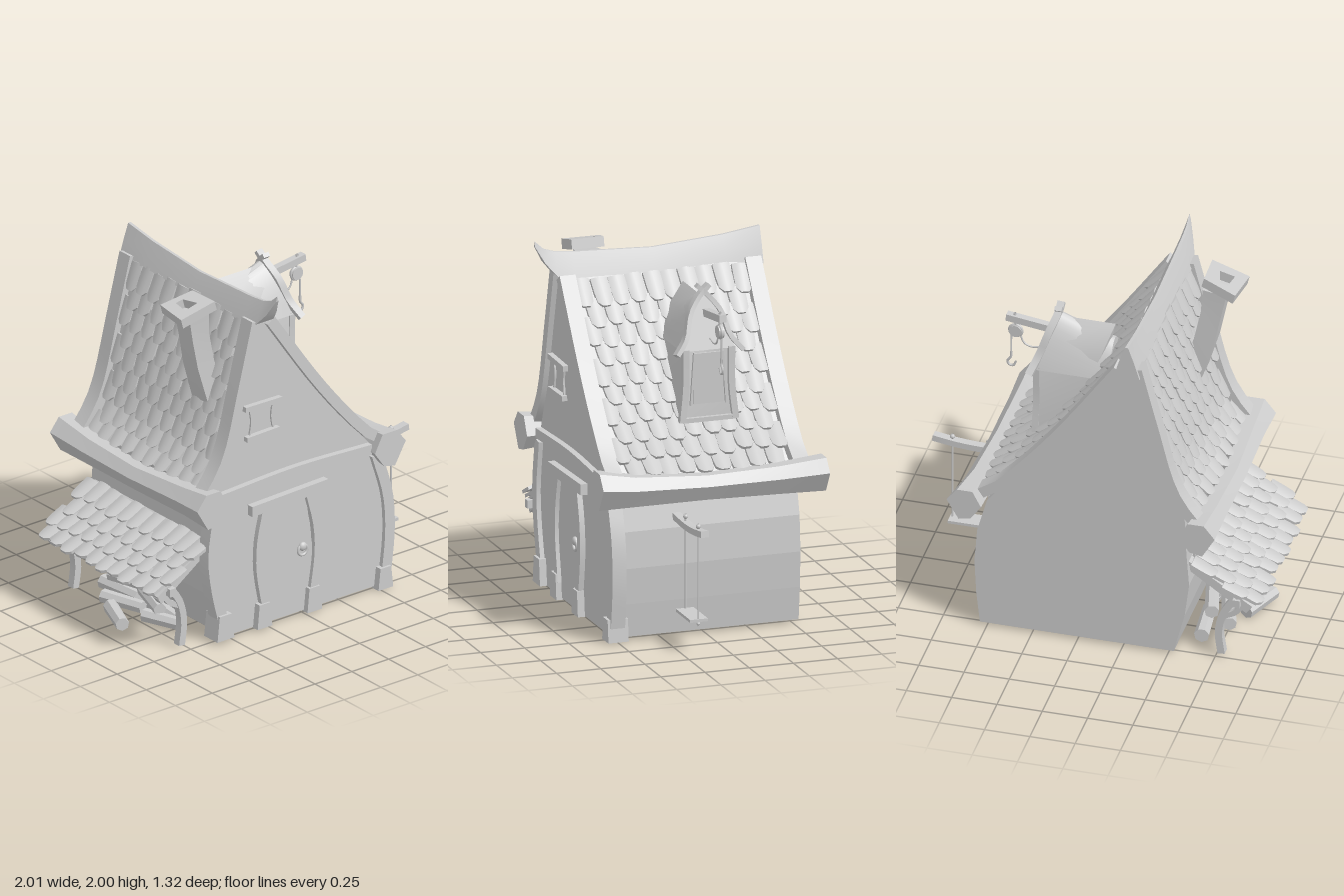
import * as THREE from 'three';
import { mergeGeometries, toCreasedNormals } from 'three/addons/utils/BufferGeometryUtils.js';

const V = (x, y, z) => new THREE.Vector3(x, y, z);
const mat = new THREE.MeshStandardMaterial({ color: 0xcccccc, side: THREE.DoubleSide });

export function createModel() {
  const root = new THREE.Group();
  let seed = 7;
  const rnd = (a) => ((seed = (seed * 16807) % 2147483647) / 2147483647 - 0.5) * 2 * a;

  const add = (name, geo, x = 0, y = 0, z = 0) => {
    const m = new THREE.Mesh(geo, mat);
    m.name = name;
    m.position.set(x, y, z);
    root.add(m);
    return m;
  };
  const box = (name, w, h, d, x, y, z) => add(name, new THREE.BoxGeometry(w, h, d), x, y, z);

  // Closed solid from rings of points, turned outward by its signed volume
  const loft = (rings) => {
    const tris = [], n = rings[0].length, last = rings[rings.length - 1];
    for (let i = 0; i < rings.length - 1; i++) for (let j = 0; j < n; j++) {
      const k = (j + 1) % n, a = rings[i], b = rings[i + 1];
      tris.push([a[j], a[k], b[k]], [a[j], b[k], b[j]]);
    }
    for (const [ring, flip] of [[rings[0], true], [last, false]]) {
      const c = ring.reduce((s, p) => s.add(p), V(0, 0, 0)).divideScalar(n);
      for (let j = 0; j < n; j++) {
        const p = ring[j], q = ring[(j + 1) % n];
        tris.push(flip ? [c, q, p] : [c, p, q]);
      }
    }
    const o = rings[0][0];
    const vol = tris.reduce((s, [a, b, c]) =>
      s + a.clone().sub(o).dot(b.clone().sub(o).cross(c.clone().sub(o))), 0);
    if (vol < 0) tris.forEach((t) => t.reverse());
    const g = new THREE.BufferGeometry().setFromPoints(tris.flat());
    g.computeVertexNormals();
    return toCreasedNormals(g, 0.5);
  };

  // Timber swept along a smooth path: w across, d along the "up" direction
  const beam = (name, pts, w, d, up = [0, 0, 1], taper = 1) => {
    const curve = new THREE.CatmullRomCurve3(pts.map((p) => V(...p)));
    const n = pts.length > 2 ? 10 : 1, rings = [];
    for (let i = 0; i <= n; i++) {
      const p = curve.getPointAt(i / n), t = curve.getTangentAt(i / n);
      const s = t.clone().cross(V(...up)).normalize(), u = s.clone().cross(t);
      const k = (1 + (taper - 1) * i / n) / 2;
      rings.push([[-1, -1], [1, -1], [1, 1], [-1, 1]].map(([a, b]) =>
        p.clone().addScaledVector(s, a * w * k).addScaledVector(u, b * d * k)));
    }
    return add(name, loft(rings));
  };
  const rope = (name, pts, r = 0.005) => add(name,
    new THREE.TubeGeometry(new THREE.CatmullRomCurve3(pts.map((p) => V(...p))), 16, r, 6));
  const plate = (name, pts, z0, z1) => add(name, new THREE.ExtrudeGeometry(
    new THREE.Shape(pts.map((p) => new THREE.Vector2(...p))), { depth: z1 - z0, bevelEnabled: false }), 0, 0, z0);

  // Rows of bent shingles following a slope from top to bottom
  const tileRoof = (name, slope, z0, z1, rows, cols) => {
    const curve = new THREE.CatmullRomCurve3(slope.map(([x, y]) => V(x, y, 0)));
    const step = curve.getLength() / rows, w = (z1 - z0) / cols, h = step * 1.5;
    const out = [];
    for (let r = 0; r < rows; r++) {
      const t = (r + 0.5) / rows, p = curve.getPointAt(t);
      const u = curve.getTangentAt(t).negate(), n = V(-u.y, u.x, 0);
      if (n.y < 0) n.negate();
      const X = u.clone().cross(n);
      const odd = r % 2;
      for (let c = 0; c < cols - odd; c++) {
        const g = new THREE.BoxGeometry(w * 0.97, h, 0.018, 4, 2, 1), a = g.attributes.position;
        for (let i = 0; i < a.count; i++) {
          const q = a.getX(i) / (w / 2), low = a.getY(i) < -h / 4;
          a.setZ(i, a.getZ(i) - 0.011 * q * q);
          if (low) a.setXYZ(i, a.getX(i) * 0.92, a.getY(i) + 0.2 * h * q ** 4, a.getZ(i));
        }
        g.rotateZ(rnd(0.06)).rotateX(-0.13 + rnd(0.03));
        const z = z0 + w * (c + 0.5 + odd / 2) + rnd(0.006);
        const pos = p.clone().addScaledVector(n, 0.02).addScaledVector(u, rnd(0.012)).setZ(z);
        g.applyMatrix4(new THREE.Matrix4().makeBasis(X, u, n).setPosition(pos));
        out.push(toCreasedNormals(g, 0.5));
      }
    }
    add(name, mergeGeometries(out));
  };

  // House body with bulging walls and an off-centre gable
  plate('houseBody', [[-0.53, 0.015], [-0.59, 0.25], [-0.615, 0.45], [-0.6, 0.65], [-0.59, 0.88], [-0.53, 1.04],
    [-0.335, 1.8], [-0.26, 1.8], [0.06, 1.33], [0.42, 0.9], [0.5, 0.8], [0.555, 0.6], [0.57, 0.4], [0.56, 0.2],
    [0.54, 0.015]].reverse(), -0.535, 0.515);

  // Roof: shingles, edge boards, ridge and eaves
  tileRoof('rightRoofTiles', [[-0.22, 1.76], [0.08, 1.33], [0.3, 1.07], [0.5, 0.88]], -0.52, 0.47, 10, 10);
  tileRoof('leftRoofTiles', [[-0.345, 1.78], [-0.44, 1.4], [-0.54, 1.04], [-0.64, 0.88]], -0.52, 0.47, 9, 10);
  for (const z of [0.5, -0.55]) {
    beam('rightEdgeBoard', [[-0.24, 1.8, z], [0.08, 1.345, z], [0.3, 1.075, z], [0.44, 0.93, z], [0.52, 0.88, z]], 0.06, 0.09);
    beam('leftEdgeBoard', [[-0.34, 1.82, z], [-0.435, 1.45, z], [-0.52, 1.13, z], [-0.58, 1.0, z], [-0.67, 0.88, z]], 0.06, 0.09);
  }
  const ridge = [[0.66, 1.97, 2.0, 0.008], [0.61, 1.88, 1.955, 0.035], [0.55, 1.81, 1.935, 0.06], [0.45, 1.795, 1.925, 0.068],
    [0, 1.785, 1.905, 0.065], [-0.4, 1.8, 1.935, 0.068], [-0.61, 1.77, 1.965, 0.072]];
  add('ridgeBeam', loft(ridge.map(([z, b, t, w]) => [[-1, b], [1, b], [0.6, (b + t) / 2], [0.12, t], [-0.12, t], [-0.6, (b + t) / 2]]
    .map(([k, y]) => V(-0.29 + k * w, y, z)))));
  const eave = (name, sections) => add(name, loft(sections.map(([x, y, z, r]) =>
    [[-1, 0.2], [-0.4, 0.95], [0.5, 0.95], [1, 0], [0.4, -0.85], [-0.3, -1]]
      .map(([a, b]) => V(x + a * r * (x < 0 ? 1 : -1), y + b * r, z)))));
  eave('leftEave', [[-0.68, 0.83, 0.6, 0.105], [-0.69, 0.825, 0.4, 0.085], [-0.71, 0.815, 0, 0.07], [-0.7, 0.82, -0.4, 0.08], [-0.69, 0.835, -0.66, 0.1]]);
  eave('rightEave', [[0.525, 0.84, 0.6, 0.105], [0.545, 0.825, 0.4, 0.085], [0.565, 0.815, 0, 0.07], [0.575, 0.82, -0.4, 0.08], [0.595, 0.835, -0.66, 0.095]]);

  // Front timbers
  beam('crossBeam', [[-0.58, 0.845, 0.52], [-0.07, 0.865, 0.52], [0.44, 0.845, 0.52]], 0.055, 0.06);
  beam('leftCornerPost', [[-0.555, 0.1, 0.5], [-0.61, 0.33, 0.5], [-0.63, 0.52, 0.5], [-0.59, 0.8, 0.5]], 0.065, 0.08);
  beam('rightCornerPost', [[0.545, 0.08, 0.5], [0.57, 0.33, 0.5], [0.555, 0.55, 0.5], [0.48, 0.8, 0.5]], 0.065, 0.08);
  beam('leftDoorPost', [[-0.27, 0.1, 0.52], [-0.315, 0.36, 0.52], [-0.31, 0.52, 0.52], [-0.27, 0.7, 0.52]], 0.05, 0.05);
  beam('rightDoorPost', [[0.045, 0.1, 0.52], [0.08, 0.36, 0.52], [0.07, 0.52, 0.52], [0.025, 0.7, 0.52]], 0.05, 0.05);
  beam('doorLintel', [[-0.375, 0.715, 0.525], [0.14, 0.73, 0.525]], 0.06, 0.06);
  for (const [x, w, y0, y1] of [[-0.555, 0.115, 0.015, 0.16], [0.53, 0.1, 0, 0.125], [-0.29, 0.1, 0.01, 0.15], [0.048, 0.1, 0.01, 0.15]])
    plate('postFoot', [[x - w / 2, y0], [x + w / 2, y0], [x + w * 0.36, y1], [x - w * 0.36, y1]], 0.44, 0.555);
  plate('door', [[-0.25, 0.02], [0.03, 0.02], [0.06, 0.35], [0.01, 0.7], [-0.26, 0.7], [-0.3, 0.35]], 0.51, 0.523);
  add('doorKnob', new THREE.SphereGeometry(0.025, 16, 10), -0.015, 0.4, 0.53).scale.z = 0.7;
  add('knockerRing', new THREE.TorusGeometry(0.03, 0.008, 8, 20), -0.015, 0.38, 0.53);

  // Gable window
  beam('windowTopBar', [[-0.41, 1.32, 0.525], [-0.165, 1.315, 0.525]], 0.03, 0.04);
  beam('windowSill', [[-0.4, 1.14, 0.525], [-0.18, 1.145, 0.525]], 0.028, 0.04);
  for (const s of [-1, 1]) beam('windowSide',
    [1.15, 1.23, 1.31].map((y, i) => [-0.288 + s * (i === 1 ? 0.068 : 0.08), y, 0.518]), 0.01, 0.015);

  // Leaning chimney with a hollow cap
  const square = (x, y, z, a, b, tilt) => [[-1, -1], [1, -1], [1, 1], [-1, 1]].map(([i, k]) => V(x + i * a, y + i * tilt, z + k * b));
  add('chimney', loft([square(-0.43, 1.3, 0.25, 0.06, 0.07, 0), square(-0.5, 1.53, 0.25, 0.055, 0.065, 0.01),
    square(-0.535, 1.7, 0.255, 0.055, 0.06, 0.01), square(-0.555, 1.84, 0.26, 0.065, 0.065, 0.01)]));
  const cap = new THREE.Shape([[-0.11, 0.1], [-0.085, -0.11], [0.105, -0.065], [0.11, 0.12]].map((p) => new THREE.Vector2(...p)));
  cap.holes.push(new THREE.Path([[-0.04, 0.05], [-0.025, -0.05], [0.02, -0.045], [0.045, 0.05]].map((p) => new THREE.Vector2(...p))));
  const capGeo = new THREE.ExtrudeGeometry(cap, { depth: 0.055, bevelEnabled: false }).rotateX(-Math.PI / 2);
  capGeo.scale(1, 1, -1);
  const index = capGeo.attributes.position;
  for (let i = 0; i < index.count; i += 3) for (const k of ['position', 'normal', 'uv']) {
    const a = capGeo.attributes[k], n = a.itemSize, t = a.array.slice(i * n, i * n + n);
    a.array.copyWithin(i * n, (i + 2) * n, (i + 3) * n);
    a.array.set(t, (i + 2) * n);
  }
  capGeo.computeVertexNormals();
  add('chimneyCap', capGeo, -0.585, 1.845, 0.26).rotation.z = 0.26;

  // Dormer: wall, arched hood, crossed front boards and hatch
  const dz = -0.108;
  const wall = (x) => [[-0.16, 1.1], [0.16, 1.1], [0.135, 1.5], [0.085, 1.66], [0, 1.76], [-0.085, 1.66], [-0.135, 1.5]]
    .map(([z, y]) => V(x - Math.max(0, y - 1.5) * 0.36, y, dz + z));
  add('dormerWall', loft([wall(0), wall(0.305)]));
  const hood = (x, top, lean) => Array.from({ length: 15 }, (_, i) => {
    const a = (i / 14) * 2 - 1, k = 1 - Math.abs(a) ** 1.8;
    return V(x - lean * k, 1.49 + (top - 1.49) * k, dz + 0.15 * a);
  });
  add('dormerHood', loft([hood(-0.09, 1.67, 0), hood(0.31, 1.785, 0.1)]));
  for (const s of [-1, 1]) {
    beam('dormerFrontBoard', [[0.335, 1.48, dz + s * 0.19], [0.3, 1.56, dz + s * 0.125], [0.255, 1.69, dz + s * 0.085],
      [0.22, 1.78, dz + s * 0.015], [0.215, 1.825, dz - s * 0.035]], 0.025, 0.04, [1, 0, 0]);
    beam('dormerPost', [[0.31, 1.1, dz + s * 0.15], [0.305, 1.3, dz + s * 0.13], [0.305, 1.5, dz + s * 0.13]], 0.035, 0.035, [1, 0, 0]);
    beam('hatchSide', [[0.31, 1.19, dz + s * 0.1], [0.308, 1.48, dz + s * 0.08]], 0.01, 0.015, [1, 0, 0]);
  }
  box('hatch', 0.012, 0.28, 0.17, 0.305, 1.335, dz);
  box('dormerSill', 0.03, 0.025, 0.3, 0.31, 1.11, dz);

  // Hoist above the dormer
  const hz = -0.12;
  beam('hoistArm', [[0.18, 1.67, hz], [0.505, 1.715, hz]], 0.04, 0.04);
  rope('pulleyStrap', [[0.46, 1.74, hz], [0.455, 1.68, hz], [0.455, 1.62, hz]], 0.008);
  add('pulleyWheel', new THREE.CylinderGeometry(0.035, 0.035, 0.03, 20).rotateX(Math.PI / 2), 0.455, 1.63, hz);
  add('pulleyRim', new THREE.TorusGeometry(0.035, 0.008, 8, 20), 0.455, 1.63, hz);
  rope('haulRope', [[0.43, 1.61, hz], [0.41, 1.56, hz], [0.37, 1.54, hz], [0.3, 1.55, hz]]);
  rope('hookRope', [[0.478, 1.62, hz], [0.48, 1.55, hz], [0.48, 1.47, hz]]);
  rope('hook', [[0.48, 1.49, hz], [0.482, 1.455, hz], [0.5, 1.43, hz], [0.49, 1.405, hz], [0.468, 1.405, hz], [0.455, 1.43, hz]], 0.007);

  // Swing on the right wall
  const sz = 0.155;
  beam('swingArm', [[0.52, 0.66, sz], [0.7, 0.652, sz], [0.85, 0.66, sz], [0.985, 0.68, sz]], 0.035, 0.045);
  for (const x of [0.68, 0.88]) {
    rope('swingRope', [[x, 0.14, sz], [x, 0.4, sz], [x, 0.71, sz]]);
    add('swingKnot', new THREE.SphereGeometry(0.014, 8, 6), x, 0.695, sz);
    add('swingKnot', new THREE.SphereGeometry(0.01, 8, 6), x, 0.155, sz);
  }
  box('swingSeat', 0.225, 0.016, 0.1, 0.78, 0.175, sz);

  // Lean-to shelter on the left wall
  tileRoof('leanToTiles', [[-0.64, 0.57], [-0.8, 0.465], [-0.97, 0.36]], -0.55, 0.52, 4, 11);
  beam('leanToDeck', [[-0.6, 0.575, -0.015], [-0.95, 0.345, -0.015]], 0.02, 0.98);
  beam('leanToRail', [[-0.87, 0.365, -0.52], [-0.87, 0.365, 0.5]], 0.04, 0.045, [0, 1, 0]);
  for (const z of [-0.47, 0.44]) {
    beam('leanToPost', [[-0.78, 0.015, z], [-0.765, 0.15, z], [-0.79, 0.27, z], [-0.86, 0.38, z]], 0.04, 0.045);
    beam('leanToBrace', [[-0.79, 0.25, z], [-0.86, 0.29, z], [-0.9, 0.35, z]], 0.03, 0.03);
    beam('leanToRafter', [[-0.6, 0.545, z], [-0.93, 0.315, z]], 0.04, 0.045);
  }

  // Firewood
  for (const [x, y, z, len, yaw, r] of [[-0.86, 0.045, 0.0, 0.24, -0.4, 0.038], [-0.72, 0.04, -0.12, 0.26, 0.3, 0.036],
    [-0.62, 0.04, 0.12, 0.3, -0.1, 0.038], [-0.63, 0.04, -0.25, 0.28, 0.1, 0.038], [-0.7, 0.045, 0.2, 0.24, 0.35, 0.036],
    [-0.66, 0.1, 0.05, 0.28, -0.35, 0.036], [-0.64, 0.13, -0.16, 0.26, 0.25, 0.036]]) {
    const g = new THREE.CylinderGeometry(r, r * 1.1, len, 7).rotateX(Math.PI / 2);
    add('log', toCreasedNormals(g, 0.4), x, y, z).rotation.y = yaw;
  }
  return root;
}
